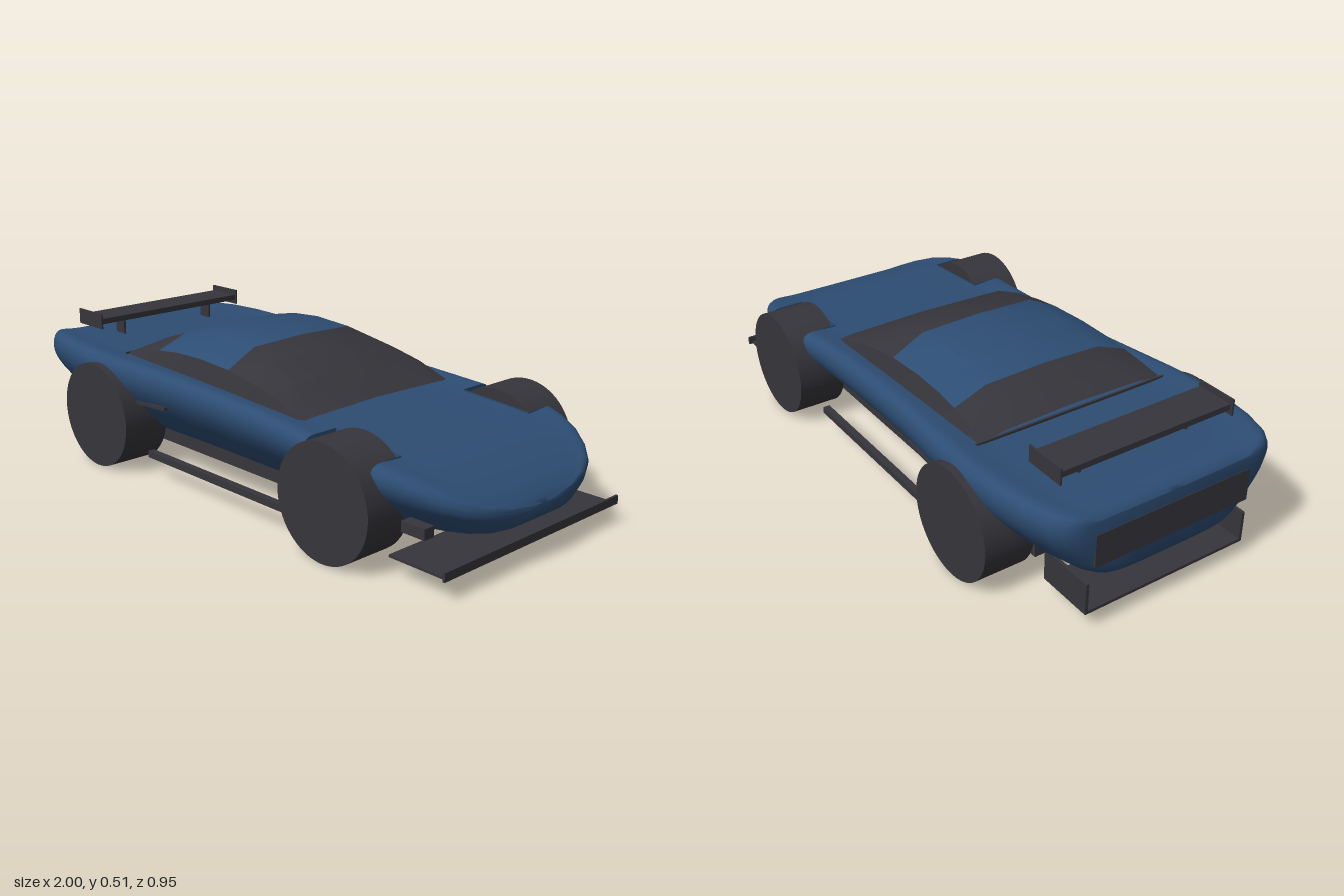
import * as THREE from 'three';
import { toCreasedNormals } from 'three/addons/utils/BufferGeometryUtils.js';

// Joins closed rings (ordered top, +z, bottom, -z) along x and caps both ends
function loft(rings, crease) {
  const n = rings[0].length, pos = rings.flat(2), index = [];
  for (let i = 0; i < rings.length - 1; i++) {
    for (let j = 0; j < n; j++) {
      const a = i * n + j, c = i * n + (j + 1) % n;
      index.push(a, c, a + n, a + n, c, c + n);
    }
  }
  const last = (rings.length - 1) * n;
  for (let j = 1; j < n - 1; j++) {
    index.push(0, j + 1, j, last, last + j, last + j + 1);
  }
  const geo = new THREE.BufferGeometry();
  geo.setAttribute('position', new THREE.Float32BufferAttribute(pos, 3));
  geo.setIndex(index);
  return toCreasedNormals(geo, crease);
}

// Open strip of cross-sections along x
function strip(rows, crease) {
  const n = rows[0].length, index = [];
  for (let i = 0; i < rows.length - 1; i++) {
    for (let j = 0; j < n - 1; j++) {
      const a = i * n + j;
      index.push(a, a + 1, a + n, a + n, a + 1, a + n + 1);
    }
  }
  const geo = new THREE.BufferGeometry();
  geo.setAttribute('position', new THREE.Float32BufferAttribute(rows.flat(2), 3));
  geo.setIndex(index);
  return toCreasedNormals(geo, crease);
}

// Linear lookup in a list of [x, ...values]
function lookup(keys, x) {
  let i = 0;
  while (i < keys.length - 2 && x > keys[i + 1][0]) i++;
  const f = (x - keys[i][0]) / (keys[i + 1][0] - keys[i][0]);
  return keys[i].map((v, k) => v + (keys[i + 1][k] - v) * f);
}

export function createModel() {
  const car = new THREE.Group();
  car.name = 'raceCar';
  const blue = new THREE.MeshStandardMaterial({ color: 0x2d4d73 });
  blue.name = 'blue paint';
  const dark = new THREE.MeshStandardMaterial({ color: 0x36353b });
  dark.name = 'dark trim';
  const glass = new THREE.MeshStandardMaterial({ color: 0x36353b, side: THREE.DoubleSide });
  glass.name = 'dark glass';
  const roofBlue = new THREE.MeshStandardMaterial({ color: 0x2d4d73, side: THREE.DoubleSide });
  roofBlue.name = 'roof paint';

  function add(name, geo, mat, x = 0, y = 0, z = 0) {
    const mesh = new THREE.Mesh(geo, mat);
    mesh.name = name;
    mesh.position.set(x, y, z);
    car.add(mesh);
    return mesh;
  }
  // Box given by its limits on each axis
  function box(name, x0, x1, y0, y1, z0, z1, mat = dark) {
    return add(name, new THREE.BoxGeometry(x1 - x0, y1 - y0, z1 - z0), mat,
      (x0 + x1) / 2, (y0 + y1) / 2, (z0 + z1) / 2);
  }

  // Body: [x, half width, top, bottom]
  const stations = [
    [-1, 0.31, 0.375, 0.185], [-0.992, 0.35, 0.388, 0.165], [-0.975, 0.378, 0.396, 0.152],
    [-0.94, 0.402, 0.4, 0.143], [-0.85, 0.43, 0.401, 0.132], [-0.74, 0.447, 0.399, 0.123],
    [-0.62, 0.454, 0.395, 0.117], [-0.5, 0.45, 0.39, 0.112], [-0.38, 0.44, 0.384, 0.108],
    [-0.22, 0.425, 0.377, 0.104], [0, 0.416, 0.366, 0.1], [0.2, 0.416, 0.355, 0.1],
    [0.35, 0.421, 0.346, 0.1], [0.45, 0.429, 0.338, 0.1], [0.715, 0.427, 0.32, 0.1],
    [0.77, 0.412, 0.309, 0.101], [0.84, 0.382, 0.29, 0.104], [0.9, 0.342, 0.265, 0.11],
    [0.945, 0.295, 0.241, 0.119], [0.975, 0.235, 0.219, 0.131], [0.992, 0.16, 0.202, 0.146],
    [1, 0.06, 0.188, 0.163],
  ];
  // Half section as fractions of half width and height, rounded over the fender
  const half = new THREE.SplineCurve([
    [0, 1], [0.4, 1], [0.72, 1.004], [0.84, 1.02], [0.92, 1.025], [0.975, 0.98], [1, 0.87],
    [0.985, 0.72], [0.93, 0.56], [0.84, 0.38], [0.74, 0.2], [0.62, 0.07], [0.45, 0.01], [0, 0],
  ].map(p => new THREE.Vector2(...p))).getPoints(39);
  const section = half.concat(half.slice(1, -1).reverse().map(p => new THREE.Vector2(-p.x, p.y)));
  function bodyRing([x, w, top, bottom], limit = 1) {
    return section.map(p => [x, bottom + p.y * (top - bottom),
      THREE.MathUtils.clamp(p.x * w, -limit, limit)]);
  }
  const bodyRings = [];
  stations.forEach(s => {
    if (s[0] === 0.715) { // recess for the front wheels
      for (const x of [0.4505, 0.54, 0.63, 0.7145]) {
        bodyRings.push(bodyRing(lookup(stations, x), 0.295));
      }
    }
    bodyRings.push(bodyRing(s));
  });
  add('body', loft(bodyRings, 0.8), blue);

  // Cabin: [x, roof, base, lower half width, shoulder half width, roof half width]
  const cabin = [
    [-0.535, 0.418, 0.37, 0.36, 0.345, 0.25], [-0.46, 0.452, 0.37, 0.358, 0.336, 0.228],
    [-0.375, 0.482, 0.365, 0.356, 0.33, 0.215], [-0.28, 0.502, 0.36, 0.355, 0.327, 0.21],
    [-0.16, 0.51, 0.355, 0.353, 0.326, 0.21], [-0.01, 0.499, 0.35, 0.351, 0.327, 0.215],
    [0.1, 0.473, 0.345, 0.349, 0.33, 0.23], [0.22, 0.43, 0.34, 0.347, 0.333, 0.25],
    [0.345, 0.358, 0.33, 0.345, 0.338, 0.29],
  ];
  const shoulder = ([, roof, base]) => base + (roof - base) * 0.57;
  const roofRow = k => [
    [k[0], shoulder(k), -k[4]], [k[0], k[1] - 0.007, -k[5]], [k[0], k[1], 0],
    [k[0], k[1] - 0.007, k[5]], [k[0], shoulder(k), k[4]],
  ];
  add('rearWindow', strip(cabin.slice(0, 3).map(roofRow), 0.45), glass);
  add('roof', strip(cabin.slice(2, 6).map(roofRow), 0.45), roofBlue);
  add('windshield', strip(cabin.slice(5).map(roofRow), 0.45), glass);
  for (const s of [1, -1]) {
    const rows = cabin.map(k => {
      const row = [[k[0], shoulder(k), s * k[4]], [k[0], k[2], s * k[3]]];
      return s > 0 ? row : row.reverse();
    });
    add(s > 0 ? 'leftSideWindow' : 'rightSideWindow', strip(rows, 0.6), glass);
  }
  box('cabinRearEdge', -0.537, -0.53, 0.37, 0.4, -0.358, 0.358);

  // Wheels, lower trim and small details on both sides
  const wheelGeo = new THREE.CylinderGeometry(0.185, 0.185, 0.17, 64).rotateX(Math.PI / 2);
  for (const s of [1, -1]) {
    add('frontWheel', wheelGeo, dark, 0.574, 0.187, s * 0.39);
    add('rearWheel', wheelGeo, dark, -0.568, 0.187, s * 0.39);
    box('sideSkirt', -0.34, 0.345, 0.075, 0.098, s * 0.405 - 0.012, s * 0.405 + 0.012);
    box('noseDuct', 0.79, 0.877, 0.14, 0.174, s * 0.355 - 0.02, s * 0.355 + 0.02);
    box('sideVent', -0.4, -0.24, 0.258, 0.27, s * 0.403 - 0.014, s * 0.403 + 0.014)
      .rotation.z = 0.06;
    box('diffuserFin', -0.99, -0.8, 0.06, 0.165, s * 0.296 - 0.005, s * 0.296 + 0.005);
    box('wingEndplate', -0.88, -0.737, 0.44, 0.495, s * 0.317 - 0.003, s * 0.317 + 0.003);
    box('wingSupport', -0.815, -0.765, 0.385, 0.468, s * 0.2 - 0.004, s * 0.2 + 0.004);
  }

  // Aerodynamic parts and underside
  box('wingBlade', -0.87, -0.742, 0.456, 0.476, -0.315, 0.315);
  box('floor', -0.74, 0.74, 0.092, 0.14, -0.29, 0.29);
  box('splitter', 0.77, 0.985, 0.065, 0.073, -0.4, 0.4);
  box('splitterLip', 0.977, 0.985, 0.065, 0.093, -0.413, 0.413);
  box('diffuser', -0.99, -0.8, 0.058, 0.068, -0.3, 0.3);
  box('rearPanel', -1.002, -0.994, 0.225, 0.335, -0.285, 0.285);
  return car;
}
